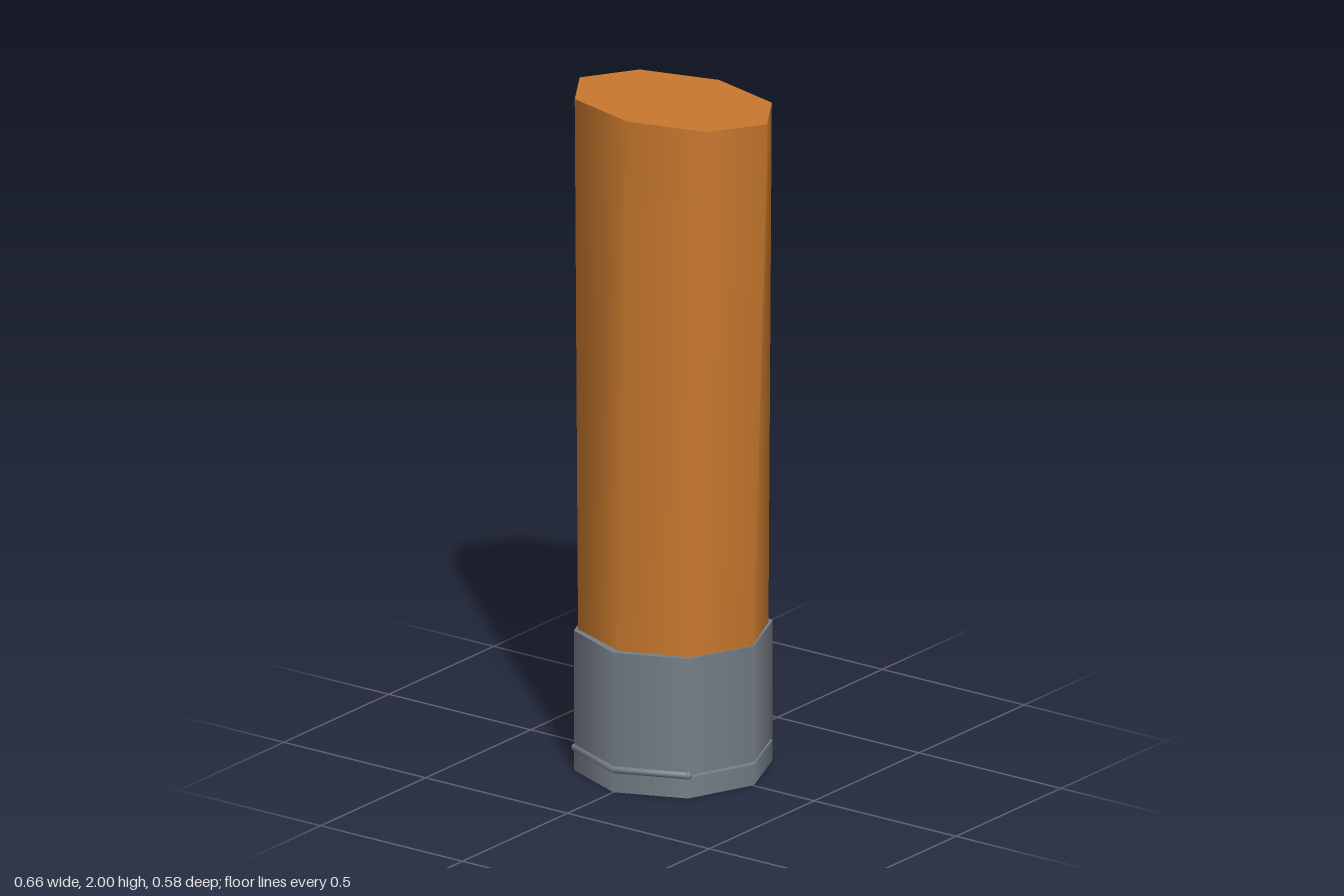
import * as THREE from 'three';

export function createModel() {
  const model = new THREE.Group();
  model.name = 'octagonalHandle';
  const orange = new THREE.MeshStandardMaterial({ name: 'orange', color: 0xc8782d });
  const grey = new THREE.MeshStandardMaterial({ name: 'grey', color: 0x757e87 });
  const zMid = -0.004;

  function add(name, geometry, material, x, y, z) {
    const mesh = new THREE.Mesh(geometry, material);
    mesh.name = name;
    mesh.position.set(x, y, z);
    model.add(mesh);
  }

  // Eight-sided upright part with a corner facing the front
  function octagon(name, radius, y0, y1, material) {
    add(name, new THREE.CylinderGeometry(radius, radius, y1 - y0, 8), material, 0, (y0 + y1) / 2, zMid);
  }

  // Grip: widens in x and narrows in z towards the top
  const y0 = 0.4, y1 = 2;
  const grip = new THREE.CylinderGeometry(1, 1, y1 - y0, 8);
  const p = grip.attributes.position;
  for (let i = 0; i < p.count; i++) {
    const t = p.getY(i) / (y1 - y0) + 0.5;
    p.setX(i, p.getX(i) * THREE.MathUtils.lerp(0.28, 0.33, t));
    p.setZ(i, p.getZ(i) * THREE.MathUtils.lerp(0.263, 0.218, t));
  }
  grip.computeBoundingSphere();
  add('grip', grip, orange, 0, (y0 + y1) / 2, zMid);

  // Collar and end cap, parted by a narrow gap around a small neck
  octagon('collar', 0.285, 0.07, 0.42, grey);
  octagon('neck', 0.1, 0.055, 0.08, grey);
  octagon('endCap', 0.285, 0, 0.062, grey);

  // Bent rod along the front of the gap, with rounded ends
  const rod = new THREE.TorusGeometry(0.28, 0.012, 10, 2, Math.PI / 2);
  rod.rotateZ(Math.PI / 4).rotateX(Math.PI / 2);
  add('clipRod', rod, grey, 0, 0.068, zMid);
  for (const s of [-1, 1]) {
    add('clipEnd', new THREE.SphereGeometry(0.012, 10, 8), grey, s * 0.198, 0.068, 0.198 + zMid);
  }
  return model;
}
